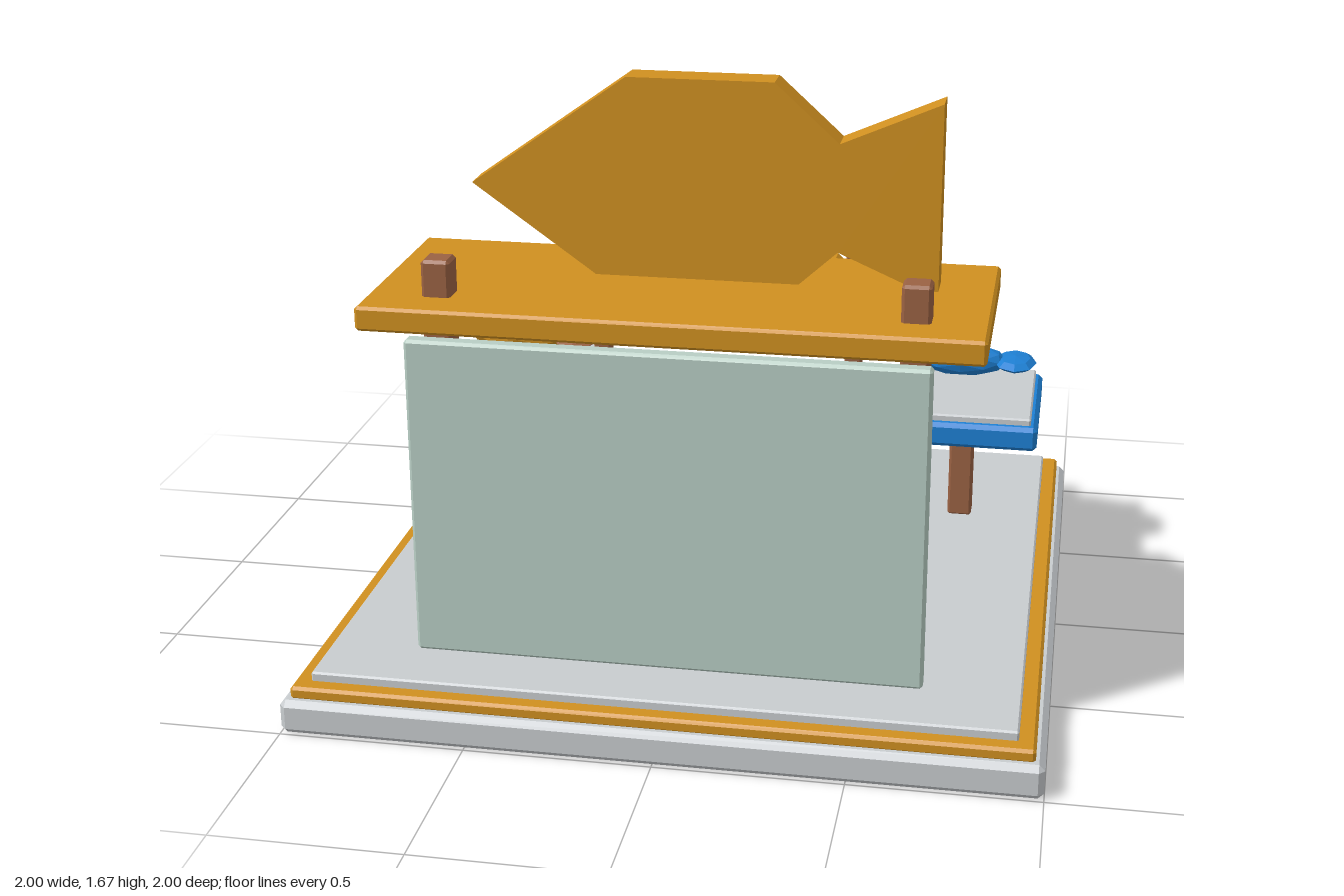
import * as THREE from 'three';
import { ConvexGeometry } from 'three/addons/geometries/ConvexGeometry.js';

const mat = (name, color, flatShading = false) => new THREE.MeshStandardMaterial({ name, color, flatShading });

// Box with flat chamfered edges, given by its size
function chamferBox(w, h, d, c) {
  const pts = [];
  for (const x of [-1, 1]) for (const y of [-1, 1]) for (const z of [-1, 1]) {
    for (let axis = 0; axis < 3; axis++) {
      const inset = [c, c, c];
      inset[axis] = 0;
      pts.push(new THREE.Vector3(x * (w / 2 - inset[0]), y * (h / 2 - inset[1]), z * (d / 2 - inset[2])));
    }
  }
  return new ConvexGeometry(pts);
}

export function createModel() {
  const root = new THREE.Group();
  root.name = 'fishStall';

  const ochre = mat('ochre', 0xd09020, true);
  const grey = mat('paleGrey', 0xc8cccf, true);
  const blue = mat('blue', 0x1e80d4, true);
  const brown = mat('brownWood', 0x9a6243, true);
  const glass = mat('paleGreenPanel', 0xb8cec4, true);
  const metal = mat('boneMetal', 0x858a90, true);
  const wire = mat('darkWire', 0x59616c, true);

  function add(parent, name, geometry, material, x = 0, y = 0, z = 0) {
    const m = new THREE.Mesh(geometry, material);
    m.name = name;
    m.position.set(x, y, z);
    parent.add(m);
    return m;
  }
  // Chamfered block from its lower and upper limits
  function block(parent, name, material, [x0, x1], [y0, y1], [z0, z1], c = 0.008) {
    return add(parent, name, chamferBox(x1 - x0, y1 - y0, z1 - z0, c), material,
      (x0 + x1) / 2, (y0 + y1) / 2, (z0 + z1) / 2);
  }
  const around = (c, size) => [c - size / 2, c + size / 2];

  // Stepped base
  block(root, 'basePlinth', grey, [-1, 1], [0, 0.095], [-1, 1], 0.016);
  block(root, 'baseTrim', ochre, [-0.975, 0.975], [0.09, 0.127], [-0.975, 0.975]);
  block(root, 'floor', grey, [-0.93, 0.93], [0.12, 0.152], [-0.93, 0.93], 0.005);

  // Front canopy, its posts and the panel
  block(root, 'frontPanel', glass, [-0.675, 0.675], [0.178, 1.053], [0.757, 0.802]);
  block(root, 'canopy', ochre, [-0.805, 0.805], [1.066, 1.132], [0.153, 0.793]);
  for (const s of [-1, 1]) {
    block(root, 'canopyPost', brown, around(s * 0.62, 0.076), [0.15, 1.23], around(0.645, 0.076));
  }

  // Fish cut-out, centred on the spine and shared by the sign and the small fish
  const outline = [[-0.59, 0], [-0.17, -0.3], [0.22, -0.3], [0.39, -0.145], [0.655, -0.26],
    [0.655, 0.26], [0.39, 0.145], [0.22, 0.3], [-0.17, 0.3]];
  function cutout(scale, depth) {
    const shape = new THREE.Shape(outline.map(([x, y]) => new THREE.Vector2(x * scale, y * scale)));
    const g = new THREE.ExtrudeGeometry(shape, { depth, bevelEnabled: false });
    return g.translate(0, 0, -depth / 2);
  }
  // Spine, ribs and eye on the back of a cut-out
  function skeleton(parent, scale, thick, z, eyeRadius) {
    const g = new THREE.Group();
    g.name = 'skeleton';
    parent.add(g);
    add(g, 'spine', new THREE.BoxGeometry(0.57 * scale + thick / 2, thick, thick), metal, -0.025 * scale, 0, z);
    for (const x of [-0.19, -0.03, 0.13]) {
      add(g, 'rib', new THREE.BoxGeometry(thick, 0.31 * scale, thick), metal, x * scale, 0, z);
    }
    add(g, 'eye', new THREE.IcosahedronGeometry(eyeRadius, 1), scale < 1 ? metal : blue,
      -0.305 * scale, 0.05 * scale, z);
  }

  const sign = new THREE.Group();
  sign.name = 'fishSign';
  sign.position.set(0, 1.37, 0.368);
  root.add(sign);
  add(sign, 'signBoard', cutout(1, 0.092), ochre);
  skeleton(sign, 1, 0.016, -0.06, 0.021);

  // Hanging rack with two posts
  for (const s of [-1, 1]) {
    block(root, 'rackPost', brown, around(s * 0.375, 0.05), [0.15, 1.11], around(-0.175, 0.05), 0.005);
    block(root, 'rackSide', brown, around(s * 0.398, 0.028), [0.68, 1.122], around(-0.376, 0.03), 0.005);
    block(root, 'rackRail', brown, [-0.41, 0.41], around(0.9 + s * 0.207, 0.028), around(-0.376, 0.03), 0.005);
  }
  for (let i = -2; i <= 2; i++) {
    add(root, 'rackWireUpright', new THREE.BoxGeometry(0.008, 0.42, 0.008), wire, i * 0.133, 0.9, -0.376);
  }
  for (let i = -1; i <= 1; i++) {
    add(root, 'rackWireAcross', new THREE.BoxGeometry(0.8, 0.008, 0.008), wire, 0, 0.9 + i * 0.11, -0.376);
  }

  // Three small fish on the back of the rack
  for (let i = -1; i <= 1; i++) {
    const fish = new THREE.Group();
    fish.name = 'rackFish';
    fish.position.set(i * 0.25 - 0.002, 0.9, -0.42);
    root.add(fish);
    add(fish, 'rackFishBody', cutout(0.2, 0.062), ochre);
    skeleton(fish, 0.22, 0.013, -0.039, 0.014);
  }

  // Side tables, each with a fish
  function table(side, material, tailMaterial, body, tail, eyeX) {
    const g = new THREE.Group();
    g.name = side < 0 ? 'rightTable' : 'leftTable';
    g.position.set(side * 0.688, 0, -0.435);
    root.add(g);
    block(g, 'tableLeg', brown, around(0, 0.072), [0.15, 0.46], around(0, 0.072), 0.007);
    block(g, 'tableTop', material, around(0, 0.46), [0.457, 0.53], around(0, 0.49), 0.012);
    block(g, 'tableInlay', grey, around(0, 0.42), [0.525, 0.55], around(0, 0.44), 0.005);
    const b = add(g, 'fishBody', new THREE.IcosahedronGeometry(1, 1), material, body[0], 0.65, 0);
    b.scale.set(body[1], body[2], body[3]);
    const t = add(g, 'fishTail', new THREE.SphereGeometry(1, 8, 4), tailMaterial, tail[0], 0.65, 0);
    t.scale.set(tail[1], tail[2], tail[3]);
    add(g, 'fishEye', new THREE.IcosahedronGeometry(0.012, 1), blue, eyeX, 0.668, -0.045);
    return g;
  }
  table(-1, ochre, brown, [-0.012, 0.165, 0.056, 0.063], [0.174, 0.075, 0.022, 0.108], -0.11);
  const blueTable = table(1, blue, blue, [-0.013, 0.14, 0.05, 0.056], [0.15, 0.064, 0.02, 0.092], -0.098);

  // Faceted lump beside the blue fish
  const lump = add(blueTable, 'iceLump', new THREE.DodecahedronGeometry(0.038), grey, 0, 0.717, 0.1);
  lump.rotation.set(0.2, 0.3, 0.1);

  return root;
}
